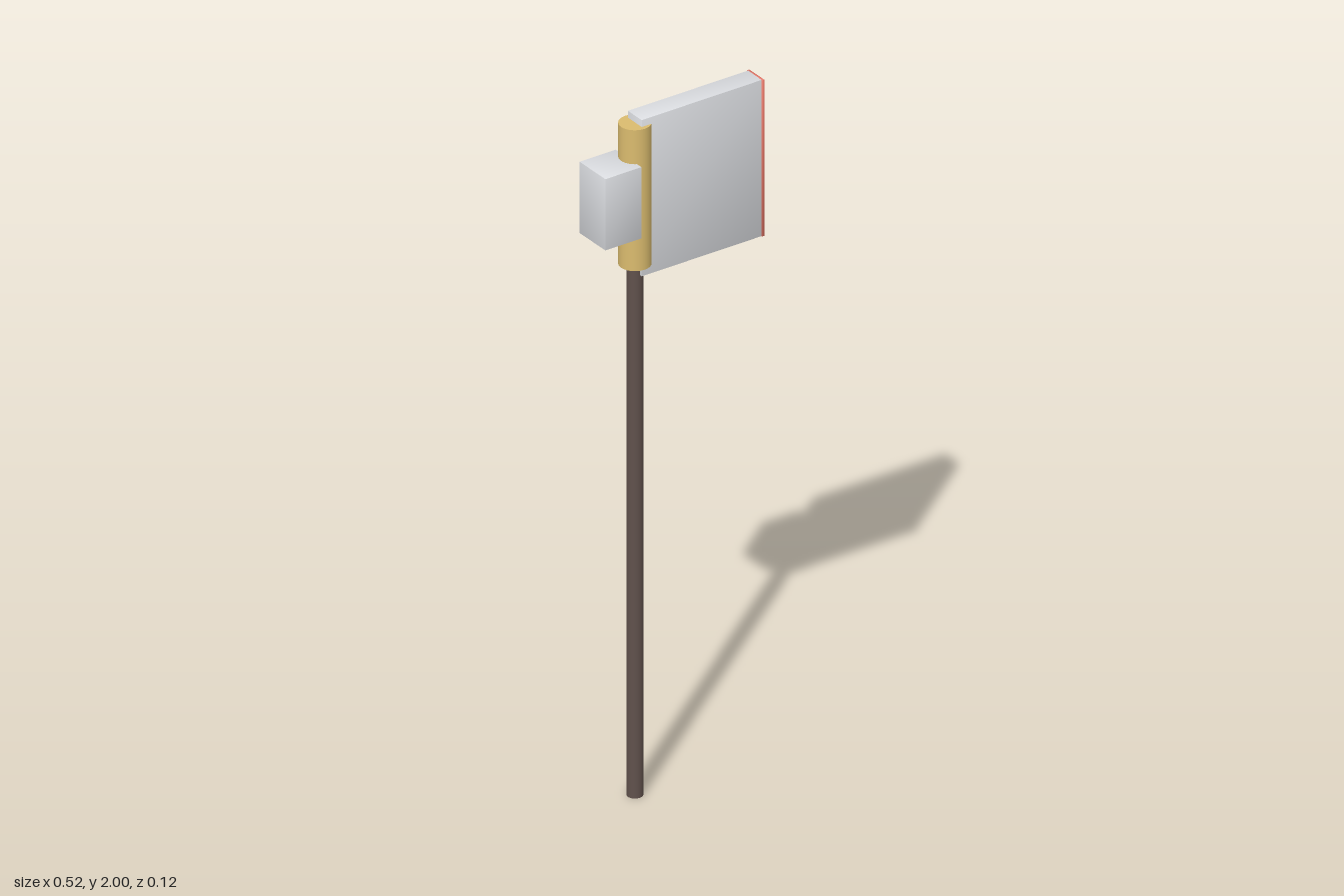
import * as THREE from 'three';

// Box given by its extents; softness tilts the face normals towards the corners
function softBox(x0, x1, y0, y1, halfDepth, softness) {
  const g = new THREE.BoxGeometry(x1 - x0, y1 - y0, halfDepth * 2);
  const p = g.attributes.position, n = g.attributes.normal;
  const face = new THREE.Vector3(), corner = new THREE.Vector3();
  for (let i = 0; i < p.count; i++) {
    corner.set(Math.sign(p.getX(i)), Math.sign(p.getY(i)), Math.sign(p.getZ(i)));
    face.fromBufferAttribute(n, i).addScaledVector(corner, softness).normalize();
    n.setXYZ(i, face.x, face.y, face.z);
  }
  return g.translate((x0 + x1) / 2, (y0 + y1) / 2, 0);
}

// Upright cylinder around the shaft axis
function post(radius, y0, y1, sides) {
  return new THREE.CylinderGeometry(radius, radius, y1 - y0, sides).translate(-0.126, (y0 + y1) / 2, 0);
}

export function createModel() {
  const group = new THREE.Group();
  const material = (name, color) => {
    const m = new THREE.MeshStandardMaterial({ color });
    m.name = name;
    return m;
  };
  const steel = material('steel', 0xdadce0);
  const brass = material('brass', 0xdabb6e);
  const wood = material('dark wood', 0x60514c);
  const red = material('red edge', 0xf07a6a);

  const add = (name, geometry, mat) => {
    const mesh = new THREE.Mesh(geometry, mat);
    mesh.name = name;
    group.add(mesh);
  };

  // Long shaft and the collar that holds the head
  add('handle', post(0.022, 0, 1.9, 24), wood);
  add('collar', post(0.0435, 1.565, 1.98, 32), brass);

  // Broad blade with its thin coloured cutting edge
  add('blade', softBox(-0.126, 0.254, 1.54, 2, 0.031, 0.25), steel);
  add('cuttingEdge', softBox(0.253, 0.26, 1.54, 2, 0.034, 0.8), red);

  // Square counterweight behind the collar
  add('hammerBlock', softBox(-0.26, -0.146, 1.67, 1.88, 0.058, 0.25), steel);

  return group;
}
